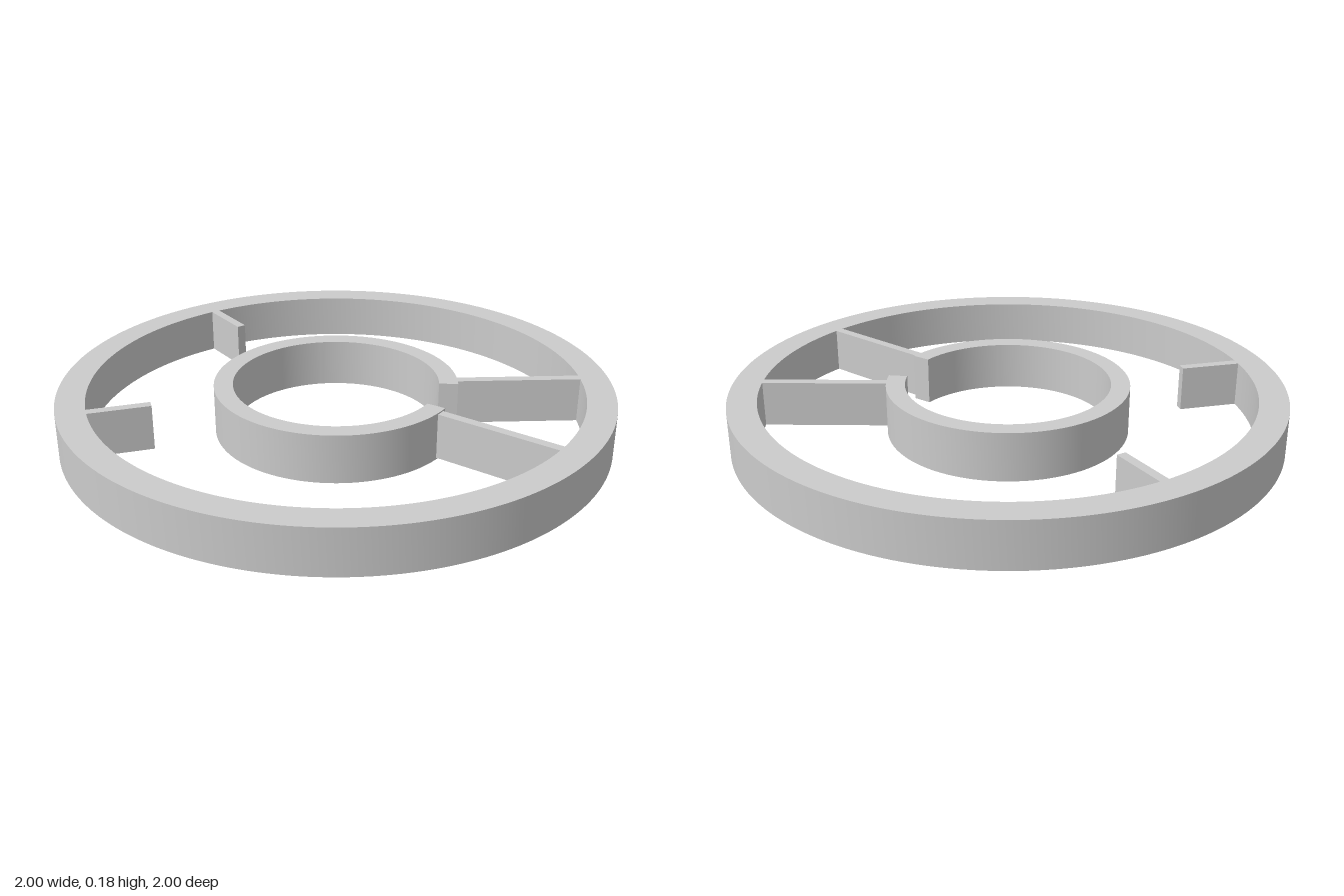
import * as THREE from 'three';
import { toCreasedNormals } from 'three/addons/utils/BufferGeometryUtils.js';

const BOTTOM = 0.008, TOP = 0.175; // height range of the rim and its spokes

export function createModel() {
  const group = new THREE.Group();
  const material = new THREE.MeshStandardMaterial({ color: 0xcccccc });

  const add = (name, geometry) => {
    const mesh = new THREE.Mesh(geometry, material);
    mesh.name = name;
    group.add(mesh);
    return mesh;
  };

  // Plan outline (x, z) raised between two heights, smooth around the curves
  const slab = (shape, bottom, top, curveSegments) => {
    const g = new THREE.ExtrudeGeometry(shape, { depth: top - bottom, bevelEnabled: false, curveSegments });
    g.rotateX(Math.PI / 2).translate(0, top, 0);
    return toCreasedNormals(g, 0.5);
  };

  // Closed outer rim
  const rim = new THREE.Shape().absarc(0, 0, 1, 0, Math.PI * 2, false);
  rim.holes.push(new THREE.Path().absarc(0, 0, 0.895, 0, Math.PI * 2, true));
  add('outerRing', slab(rim, BOTTOM, TOP, 128));

  // Slightly taller inner ring with a gap between two angles
  const start = THREE.MathUtils.degToRad(41.3);
  const end = THREE.MathUtils.degToRad(373.6);
  const hub = new THREE.Shape();
  hub.absarc(0, 0, 0.443, start, end, false);
  hub.absarc(0, 0, 0.374, end, start, true);
  hub.closePath();
  add('innerRing', slab(hub, 0.002, 0.18, 96));

  // Straight bars in plan, from [x, z] to [x, z]
  const bars = [
    ['upperSpoke', [0.435, 0.052], [0.897, 0.109]],
    ['lowerSpoke', [0.305, 0.310], [0.635, 0.640]],
    ['backStub', [-0.292, -0.617], [-0.386, -0.810]],
    ['sideStub', [-0.667, 0.081], [-0.897, 0.110]],
  ];
  for (const [name, [x0, z0], [x1, z1]] of bars) {
    const length = Math.hypot(x1 - x0, z1 - z0);
    const bar = add(name, new THREE.BoxGeometry(length, TOP - BOTTOM, 0.034));
    bar.position.set((x0 + x1) / 2, (TOP + BOTTOM) / 2, (z0 + z1) / 2);
    bar.rotation.y = -Math.atan2(z1 - z0, x1 - x0);
  }
  return group;
}
